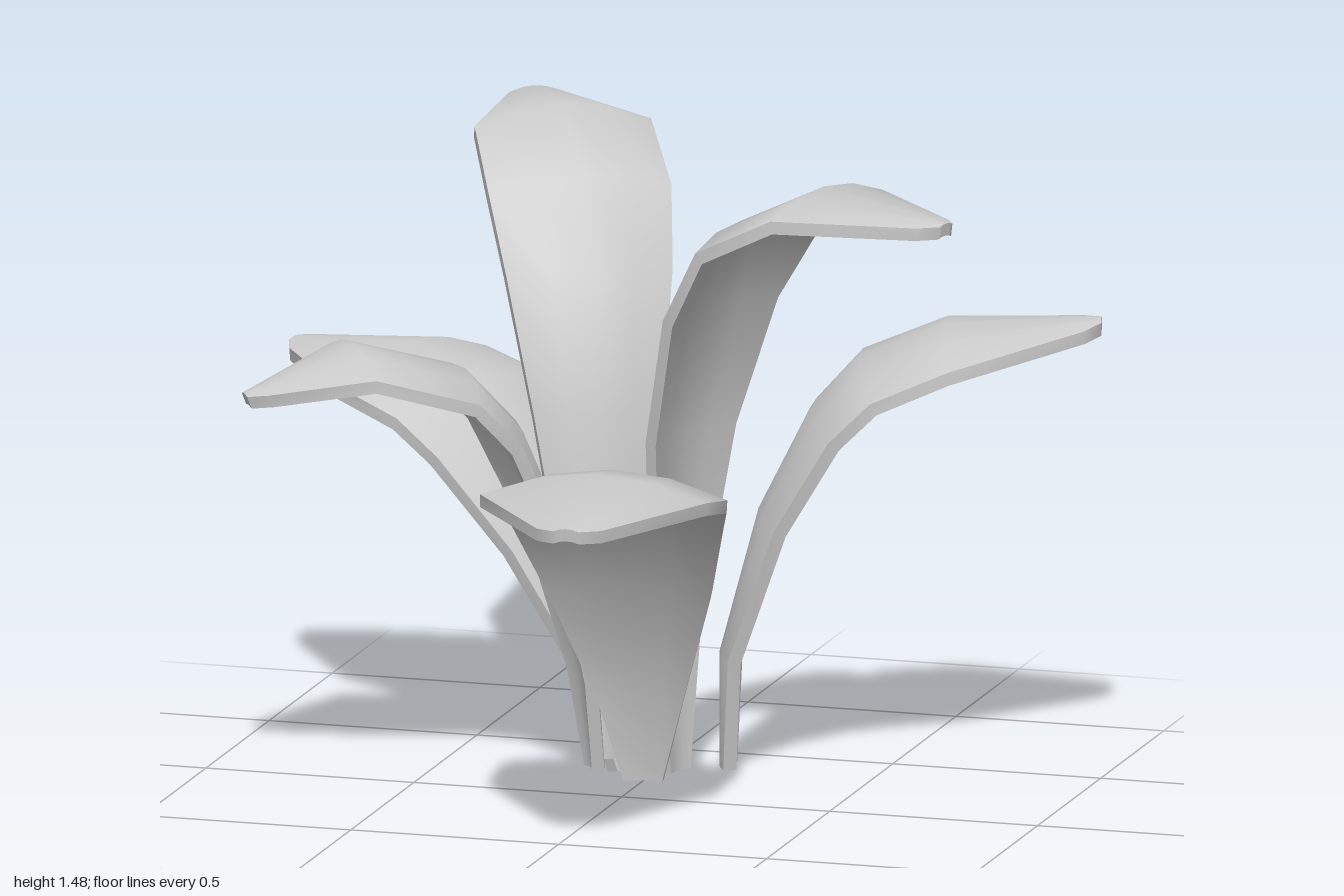
import * as THREE from 'three';
import { toCreasedNormals } from 'three/addons/utils/BufferGeometryUtils.js';

const COLS = 5;          // points across one face of a leaf
const THICKNESS = 0.03;
// half width of a broad leaf at each station from root to rounded tip
const HALF_WIDTHS = [0.045, 0.1, 0.19, 0.25, 0.275, 0.265, 0.075, 0.03];

// base and tip are [x, z]; spine lists [distance outward, height] from root to tip
const LEAVES = [
  { name: 'frontLeaf', base: [0.03, -0.09], tip: [0.16, 0.97], width: 1,
    spine: [[0, 0.04], [0.03, 0.25], [0.16, 0.55], [0.33, 0.78], [0.46, 0.87], [0.70, 0.915], [1.03, 0.875], [1.07, 0.87]] },
  { name: 'leftBackLeaf', base: [0.15, -0.28], tip: [0.99, -0.51], width: 1,
    spine: [[0, 0.03], [0.0, 0.3], [0.09, 0.64], [0.21, 0.88], [0.32, 1.0], [0.52, 1.08], [0.84, 1.095], [0.88, 1.095]] },
  { name: 'rightBackLeaf', base: [-0.05, -0.26], tip: [-0.98, -0.68], width: 1,
    spine: [[0, 0.015], [0.04, 0.25], [0.17, 0.55], [0.34, 0.77], [0.46, 0.87], [0.68, 0.92], [0.99, 0.885], [1.03, 0.88]] },
  { name: 'leftTallLeaf', base: [0.06, -0.17], tip: [0.81, 0.13], width: 0.78,
    spine: [[0, 0.04], [-0.01, 0.4], [0.02, 0.85], [0.1, 1.17], [0.22, 1.37], [0.46, 1.485], [0.78, 1.455], [0.82, 1.45]] },
  { name: 'backTallLeaf', base: [-0.1, -0.18], tip: [-0.51, -0.97], width: 0.78,
    spine: [[0, 0.05], [0.0, 0.4], [0.03, 0.85], [0.13, 1.18], [0.26, 1.37], [0.5, 1.485], [0.86, 1.445], [0.9, 1.435]] },
  { name: 'rightFrontLeaf', base: [-0.08, -0.12], tip: [-0.8, 0.34], width: 0.75,
    spine: [[0, 0.05], [0.02, 0.27], [0.09, 0.6], [0.21, 0.88], [0.33, 1.01], [0.6, 1.085], [0.82, 1.0], [0.86, 0.985]] },
];

// Sweeps a thin arched cross-section along the spine
function leafGeometry({ base, tip, width, spine }) {
  const out = new THREE.Vector3(tip[0] - base[0], 0, tip[1] - base[1]).normalize();
  const across = new THREE.Vector3(-out.z, 0, out.x);
  const ring = COLS * 2;
  const positions = [];
  const index = [];
  const quad = (a, b, c, d) => index.push(a, b, d, b, c, d);

  spine.forEach(([r, y], j) => {
    const prev = spine[Math.max(j - 1, 0)];
    const next = spine[Math.min(j + 1, spine.length - 1)];
    const dr = next[0] - prev[0];
    const dy = next[1] - prev[1];
    const len = Math.hypot(dr, dy);
    const normal = out.clone().multiplyScalar(-dy / len);
    normal.y = dr / len;
    const centre = new THREE.Vector3(base[0], y, base[1]).addScaledVector(out, r);
    const half = HALF_WIDTHS[j] * width;

    for (let k = 0; k < ring; k++) {
      const under = k >= COLS;
      const i = under ? ring - 1 - k : k;
      const s = (i / (COLS - 1)) * 2 - 1;
      const drop = 0.22 * half * s * s + (under ? THICKNESS : 0);
      const p = centre.clone().addScaledVector(across, s * half).addScaledVector(normal, -drop);
      positions.push(p.x, p.y, p.z);
    }
  });

  // Skin
  for (let j = 0; j < spine.length - 1; j++) {
    for (let k = 0; k < ring; k++) {
      const n = (k + 1) % ring;
      quad(j * ring + k, j * ring + n, (j + 1) * ring + n, (j + 1) * ring + k);
    }
  }
  // Root and tip caps
  const last = (spine.length - 1) * ring;
  for (let i = 0; i < COLS - 1; i++) {
    const lower = ring - 1 - i;
    quad(i, lower, lower - 1, i + 1);
    quad(last + i, last + i + 1, last + lower - 1, last + lower);
  }

  const geometry = new THREE.BufferGeometry();
  geometry.setAttribute('position', new THREE.Float32BufferAttribute(positions, 3));
  geometry.setIndex(index);
  return toCreasedNormals(geometry, 0.9);
}

export function createModel() {
  const plant = new THREE.Group();
  plant.name = 'leafyPlant';
  const material = new THREE.MeshStandardMaterial({ color: 0xcccccc });
  for (const leaf of LEAVES) {
    const mesh = new THREE.Mesh(leafGeometry(leaf), material);
    mesh.name = leaf.name;
    plant.add(mesh);
  }
  return plant;
}
